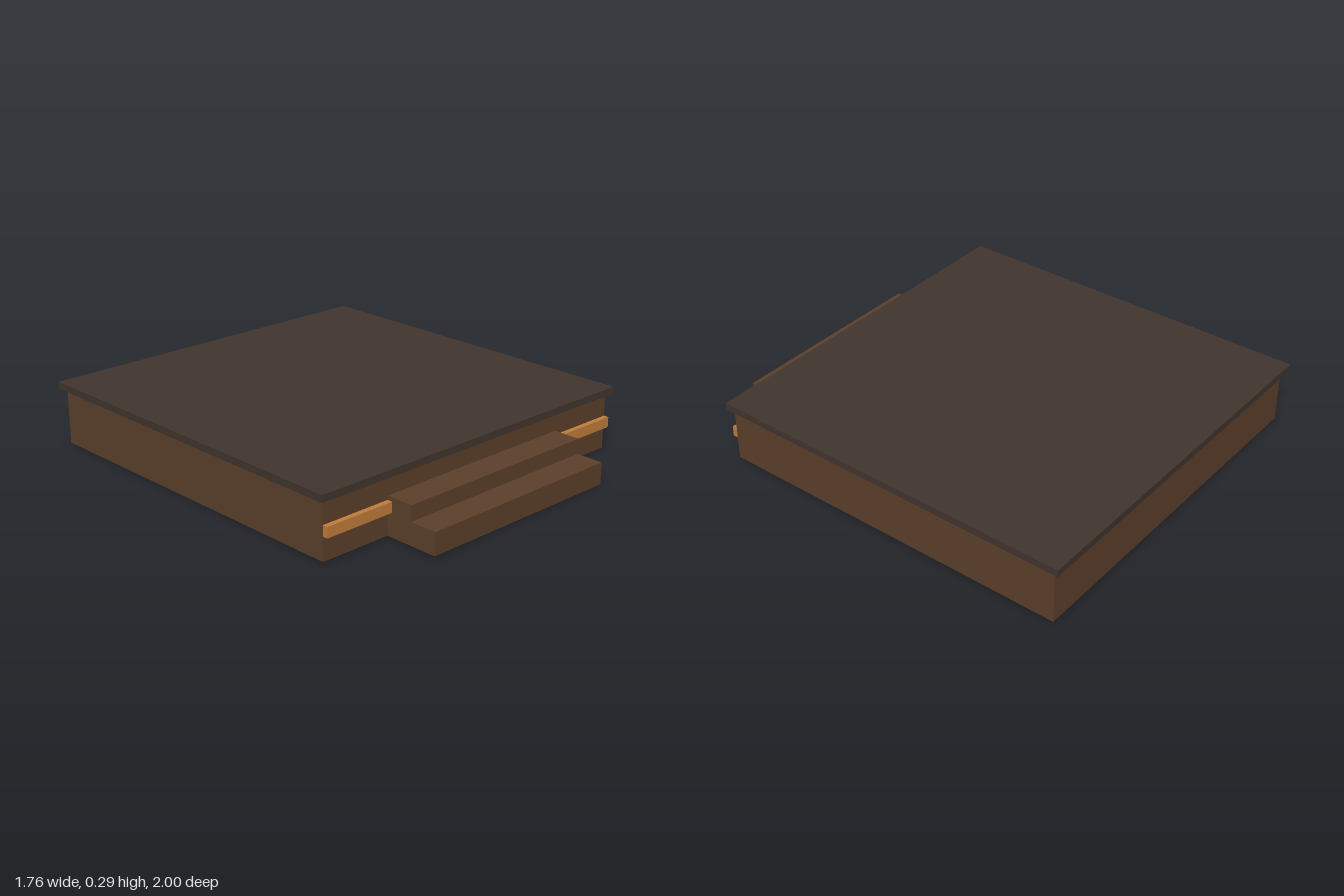
import * as THREE from 'three';

const brownWood = new THREE.MeshStandardMaterial({ name: 'brown wood', color: 0x5c402b });
const darkWood = new THREE.MeshStandardMaterial({ name: 'dark floor', color: 0x42352e });
const orangeWood = new THREE.MeshStandardMaterial({ name: 'orange trim', color: 0xc07d3b });

// Box given by its limits on each axis
function block(name, material, [x0, x1], [y0, y1], [z0, z1]) {
  const mesh = new THREE.Mesh(new THREE.BoxGeometry(x1 - x0, y1 - y0, z1 - z0), material);
  mesh.position.set((x0 + x1) / 2, (y0 + y1) / 2, (z0 + z1) / 2);
  mesh.name = name;
  return mesh;
}

export function createModel() {
  const model = new THREE.Group();
  model.name = 'steppedPlatform';

  // Solid base with an overhanging floor slab
  model.add(block('base', brownWood, [-0.858, 0.858], [0, 0.26], [-0.97, 0.741]));
  model.add(block('floorSlab', darkWood, [-0.882, 0.882], [0.26, 0.293], [-1, 0.765]));

  // Two front steps
  model.add(block('upperStep', brownWood, [-0.513, 0.513], [0, 0.173], [0.741, 0.87]));
  model.add(block('lowerStep', brownWood, [-0.513, 0.513], [0, 0.102], [0.87, 1]));

  // Trim rail on each side of the steps
  model.add(block('leftTrim', orangeWood, [0.513, 0.858], [0.107, 0.155], [0.741, 0.766]));
  model.add(block('rightTrim', orangeWood, [-0.858, -0.513], [0.107, 0.155], [0.741, 0.766]));

  return model;
}
